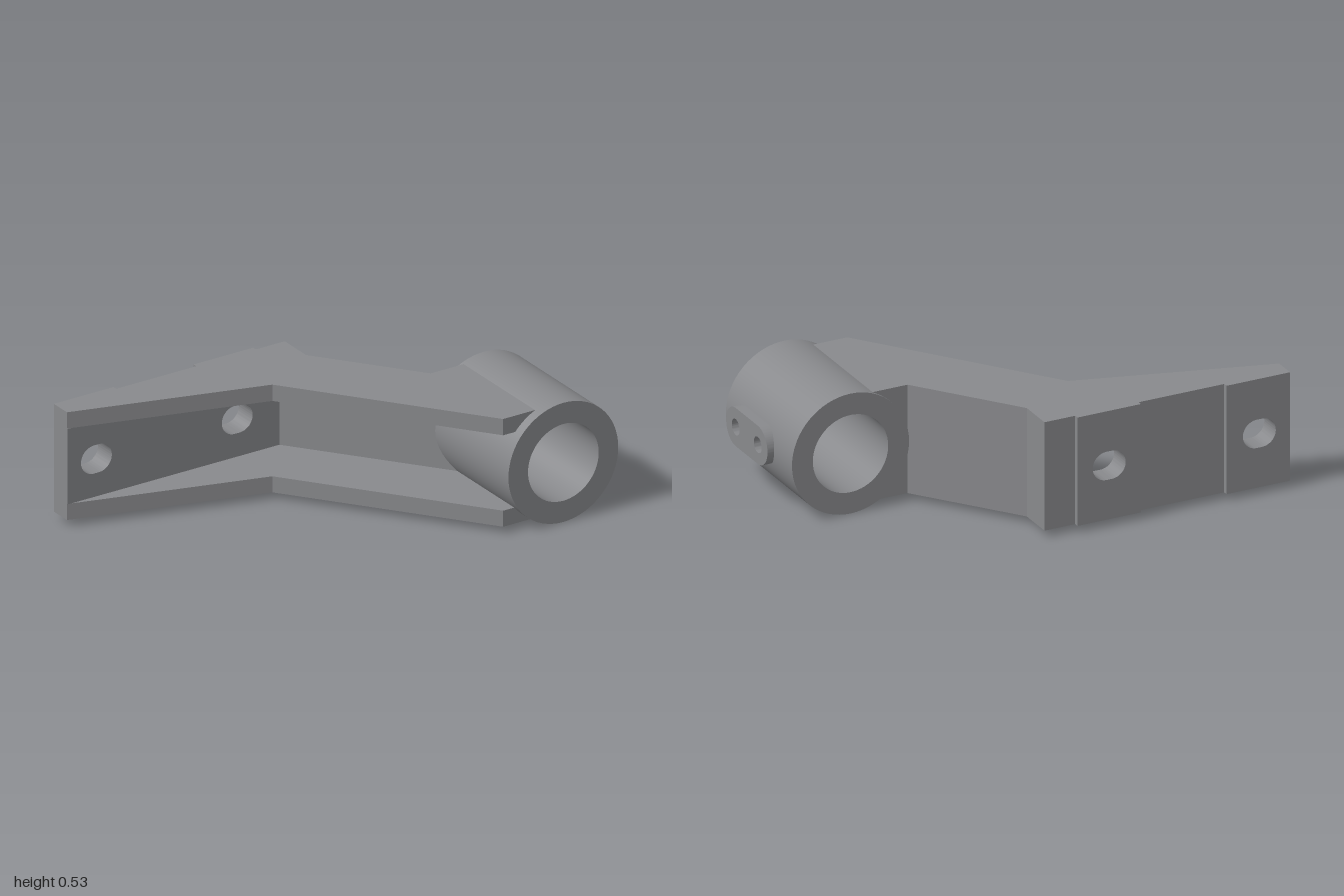
import * as THREE from 'three';
import { toCreasedNormals } from 'three/addons/utils/BufferGeometryUtils.js';

const metal = new THREE.MeshStandardMaterial({ color: 0x88898c });
metal.name = 'grey metal';

const RING = { x: 0.703, y: 0.268, outer: 0.267, inner: 0.172 };
const MID_Y = 0.27;
const SLOTS = [-0.86, -0.175];

function extrude(shape, depth) {
  return new THREE.ExtrudeGeometry(shape, { depth, bevelEnabled: false, curveSegments: 32 });
}

function part(name, geometry) {
  const mesh = new THREE.Mesh(toCreasedNormals(geometry, 0.5), metal);
  mesh.name = name;
  return mesh;
}

// Outline given as [x, z] pairs, raised from y0 to y1
function slab(name, outline, y0, y1) {
  const shape = new THREE.Shape(outline.map(([x, z]) => new THREE.Vector2(x, -z)));
  return part(name, extrude(shape, y1 - y0).rotateX(-Math.PI / 2).translate(0, y0, 0));
}

// Rounded slot outline: half is the half length, r the end radius
function stadium(path, cx, cy, half, r) {
  const d = half - r;
  path.moveTo(cx - d, cy - r);
  path.lineTo(cx + d, cy - r);
  path.absarc(cx + d, cy, r, -Math.PI / 2, Math.PI / 2, false);
  path.lineTo(cx - d, cy + r);
  path.absarc(cx - d, cy, r, Math.PI / 2, Math.PI * 1.5, false);
  return path;
}

// Upright plate pierced by slots
function slottedPlate(name, x0, x1, y0, y1, z0, z1, slots) {
  const shape = new THREE.Shape([
    new THREE.Vector2(x0, y0), new THREE.Vector2(x1, y0),
    new THREE.Vector2(x1, y1), new THREE.Vector2(x0, y1),
  ]);
  for (const x of slots) shape.holes.push(stadium(new THREE.Path(), x, MID_Y, 0.075, 0.063));
  return part(name, extrude(shape, z1 - z0).translate(0, 0, z0));
}

export function createModel() {
  const model = new THREE.Group();
  model.name = 'bracket';

  // Upper and lower flanges of the channel
  const flange = [
    [-1, -0.567], [-1, -0.49], [-0.16, -0.25], [0.44, 0.54], [0.595, 0.54],
    [0.595, 0.015], [0.435, 0.015], [0.11, -0.41], [0.11, -0.567],
  ];
  model.add(slab('lowerFlange', flange, 0.03, 0.102));
  model.add(slab('upperFlange', flange, 0.44, 0.513));

  // Mounting plate and its raised back pads
  model.add(slottedPlate('mountingPlate', -1, 0.11, 0.102, 0.44, -0.567, -0.485, SLOTS));
  model.add(slottedPlate('outerPad', -1, -0.71, 0.03, 0.513, -0.587, -0.567, [SLOTS[0]]));
  model.add(slottedPlate('innerPad', -0.32, -0.03, 0.03, 0.513, -0.587, -0.567, [SLOTS[1]]));

  // Sloping web of the arm
  model.add(slab('armWeb', [
    [0.03, -0.485], [0.5, 0.13], [0.5, 0.015], [0.435, 0.015], [0.11, -0.41], [0.11, -0.485],
  ], 0.102, 0.44));

  // Clamp ring
  const ring = new THREE.Shape().absarc(0, 0, RING.outer, 0, Math.PI * 2, false);
  ring.holes.push(new THREE.Path().absarc(0, 0, RING.inner, 0, Math.PI * 2, true));
  model.add(part('ring', extrude(ring, 0.585).translate(RING.x, RING.y, 0)));

  // Side boss with two blind holes
  const boss = stadium(new THREE.Shape(), -0.342, MID_Y, 0.183, 0.085);
  for (const z of [0.245, 0.44]) {
    boss.holes.push(new THREE.Path().absarc(-z, MID_Y, 0.035, 0, Math.PI * 2, true));
  }
  model.add(part('sideBoss', extrude(boss, 0.06).rotateY(Math.PI / 2).translate(0.94, 0, 0)));

  return model;
}
